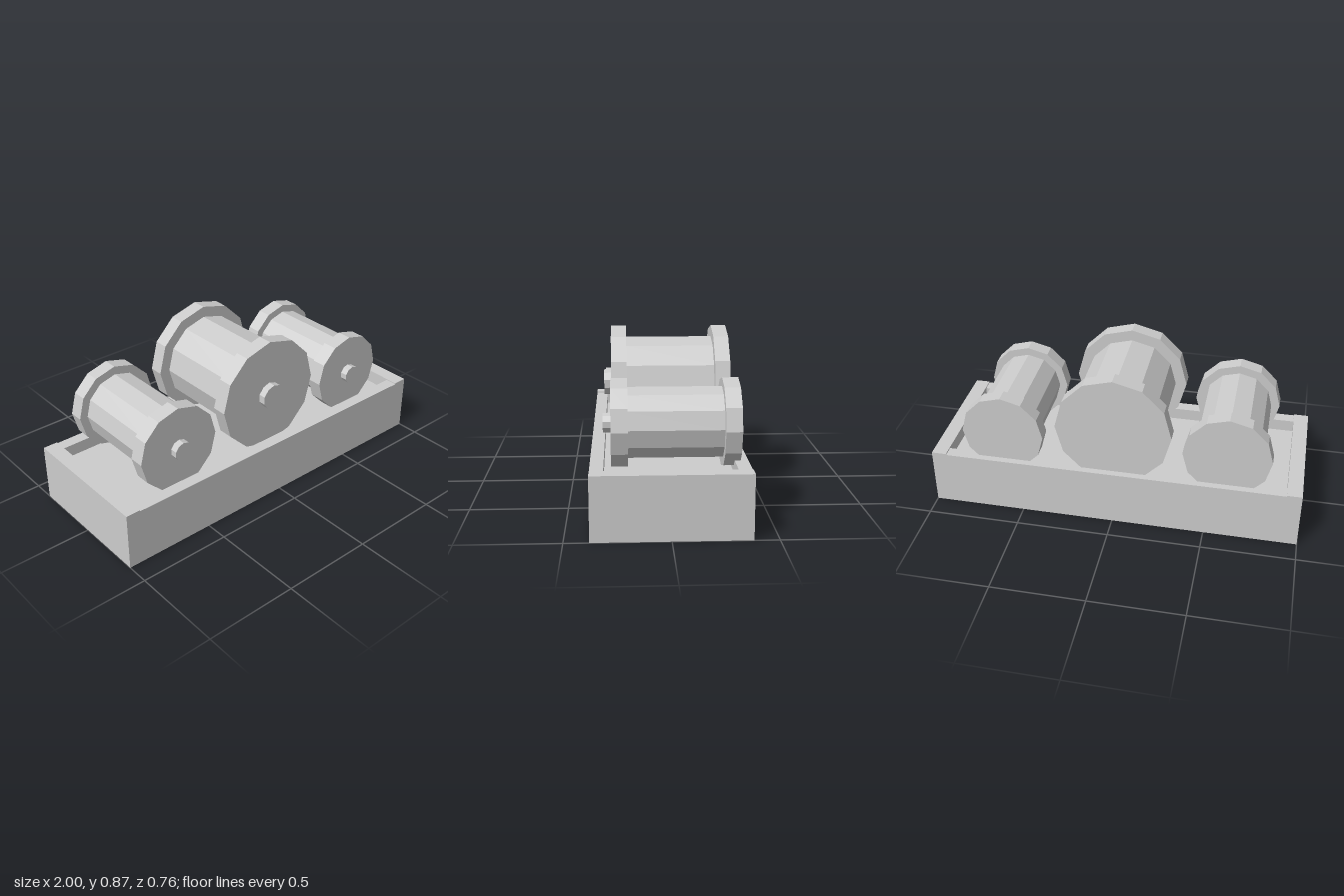
import * as THREE from 'three';

export function createModel() {
  const grey = new THREE.MeshStandardMaterial({ color: 0xcccccc, flatShading: true });
  grey.name = 'plain grey';
  const model = new THREE.Group();
  model.name = 'drumTray';

  // Box given by its centre in x and z, and its bottom
  const box = (parent, name, w, h, d, x, y, z) => {
    const m = new THREE.Mesh(new THREE.BoxGeometry(w, h, d), grey);
    m.name = name;
    m.position.set(x, y + h / 2, z);
    parent.add(m);
  };

  // Faceted disc lying along z, with a vertex at the top
  const disc = (parent, name, r, z0, z1, sides) => {
    const g = new THREE.CylinderGeometry(r, r, z1 - z0, sides);
    g.rotateY(Math.PI).rotateX(Math.PI / 2);
    const m = new THREE.Mesh(g, grey);
    m.name = name;
    m.position.z = (z0 + z1) / 2;
    parent.add(m);
  };

  // Open tray: floor, taller end walls, slightly lower long walls
  const tray = new THREE.Group();
  tray.name = 'tray';
  model.add(tray);
  box(tray, 'trayFloor', 1.84, 0.245, 0.628, 0, 0, 0);
  for (const s of [1, -1]) {
    box(tray, s > 0 ? 'leftEndWall' : 'rightEndWall', 0.08, 0.317, 0.76, s * 0.96, 0, 0);
    box(tray, s > 0 ? 'frontWall' : 'backWall', 1.84, 0.311, 0.066, 0, 0, s * 0.347);
  }

  // Three flanged drums standing on the tray floor, each with a front hub
  const drums = [
    { name: 'rightDrum', x: -0.6, y: 0.48, flange: 0.232, body: 0.186, hub: 0.052 },
    { name: 'middleDrum', x: 0, y: 0.559, flange: 0.309, body: 0.248, hub: 0.07 },
    { name: 'leftDrum', x: 0.6, y: 0.469, flange: 0.221, body: 0.178, hub: 0.05 },
  ];
  for (const d of drums) {
    const drum = new THREE.Group();
    drum.name = d.name;
    drum.position.set(d.x, d.y, 0);
    disc(drum, 'drumBody', d.body, -0.264, 0.198, 12);
    disc(drum, 'frontFlange', d.flange, 0.198, 0.279, 12);
    disc(drum, 'backFlange', d.flange, -0.343, -0.264, 12);
    disc(drum, 'hub', d.hub, 0.279, 0.318, 10);
    model.add(drum);
  }
  return model;
}
